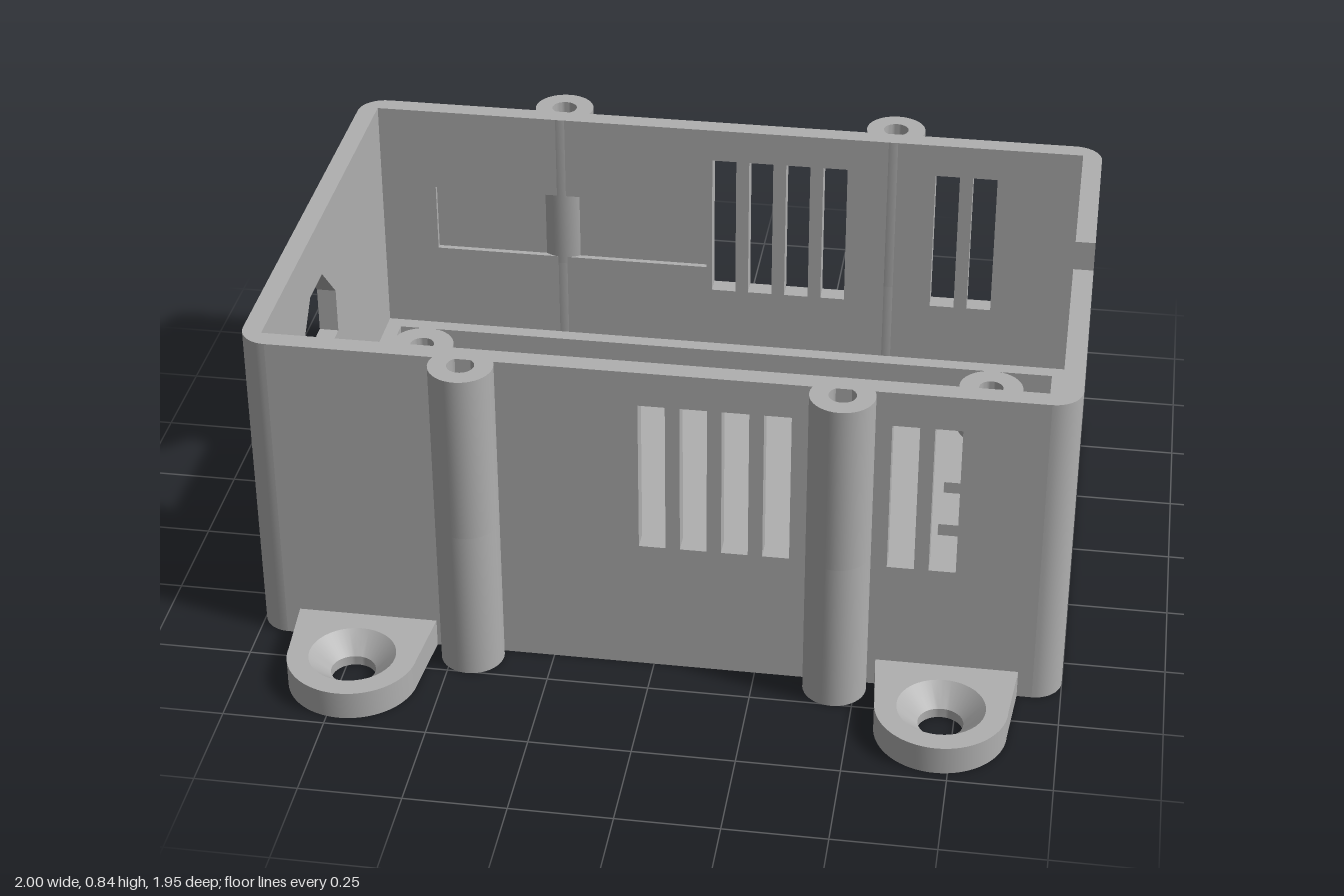
import * as THREE from 'three';
import { toCreasedNormals } from 'three/addons/utils/BufferGeometryUtils.js';

const W = 1, D = 0.65, H = 0.84, T = 0.05, R = 0.07, FLOOR = 0.05, LEDGE = 0.18;

const poly = (pts) => new THREE.Shape(pts.map(([x, y]) => new THREE.Vector2(x, y)));
const rect = (x0, y0, x1, y1) => poly([[x0, y0], [x1, y0], [x1, y1], [x0, y1]]);
const disc = (r, hole) => {
  const s = new THREE.Shape().absarc(0, 0, r, 0, Math.PI * 2, false);
  if (hole) s.holes.push(new THREE.Path().absarc(0, 0, hole, 0, Math.PI * 2, true));
  return s;
};
const extrude = (shape, depth) => toCreasedNormals(
  new THREE.ExtrudeGeometry(shape, { depth, bevelEnabled: false, curveSegments: 20 }), 0.6);

// Plan shape (x, z) raised from y0 to y1
const slab = (shape, y0, y1) => extrude(shape, y1 - y0).rotateX(Math.PI / 2).translate(0, y1, 0);

export function createModel() {
  const model = new THREE.Group();
  const grey = new THREE.MeshStandardMaterial({ color: 0xb0b0b0 });
  grey.name = 'greyPlastic';

  const add = (name, geometry, x = 0, y = 0, z = 0, turn = 0, parent = model) => {
    const m = new THREE.Mesh(geometry, grey);
    m.name = name;
    m.position.set(x, y, z);
    m.rotation.y = turn;
    parent.add(m);
    return m;
  };

  // Front and back walls with ventilation slots
  const slottedWall = () => {
    const s = rect(-W + R, 0, W - R, H);
    for (const i of [0, 1, 2, 3, 6, 7]) {
      const x = -0.035 + i * 0.1;
      s.holes.push(rect(x, 0.35, x + 0.065, 0.75));
    }
    return s;
  };
  add('frontWall', extrude(slottedWall(), T), 0, 0, D - T);

  // Back wall has a shallow rectangular recess on its inner face
  const recessed = slottedWall();
  recessed.holes.push(rect(-0.8, 0.42, -0.05, 0.61));
  add('backWallOuter', extrude(slottedWall(), T - 0.015), 0, 0, -D);
  add('backWallInner', extrude(recessed, 0.015), 0, 0, -D + T - 0.015);

  // Right end wall (-x) with a chamfered cable opening
  const e = D - R;
  const holeWall = rect(-e, 0, e, H);
  holeWall.holes.push(poly([[-0.065, 0.455], [0.28, 0.455], [0.28, 0.575],
    [0.17, 0.69], [0.05, 0.69], [-0.065, 0.575]]));
  add('rightWall', extrude(holeWall, T).rotateY(-Math.PI / 2), -W + T);

  // Left end wall (+x) with a notch open at the rim
  const notchWall = poly([[-e, 0], [e, 0], [e, H], [0.01, H], [0.01, 0.63],
    [-0.13, 0.63], [-0.13, H], [-e, H]]);
  add('leftWall', extrude(notchWall, T).rotateY(-Math.PI / 2), W);

  // Rounded outer corners
  for (const sx of [-1, 1]) for (const sz of [-1, 1]) {
    const pts = [[W - T, D - R], [W - T, D - T], [W - R, D - T], [W - R, D]];
    for (let i = 1; i <= 10; i++) {
      const a = Math.PI / 2 * (1 - i / 10);
      pts.push([W - R + R * Math.cos(a), D - R + R * Math.sin(a)]);
    }
    add('corner', slab(poly(pts.map(([x, z]) => [x * sx, z * sz])), 0, H));
  }

  // Floor with two through slits
  const floor = rect(-W + T, -D + T, W - T, D - T);
  for (const z of [-0.19, 0.01]) floor.holes.push(rect(0.65, z, 0.755, z + 0.05));
  add('floor', slab(floor, 0, FLOOR));

  // Low inner ledge around the walls
  const ledge = rect(-W + T, -D + T, W - T, D - T);
  ledge.holes.push(rect(-0.91, -0.56, 0.91, 0.56));
  add('innerLedge', slab(ledge, FLOOR, LEDGE));

  // Circuit board posts
  const post = slab(disc(0.087, 0.033), FLOOR, LEDGE);
  for (const x of [-0.83, 0.75]) for (const z of [-0.475, 0.475]) add('boardPost', post, x, 0, z);

  // Lid screw columns with blind holes
  const columnBase = slab(disc(0.078), 0, 0.4);
  const columnTop = slab(disc(0.078, 0.033), 0.4, H);
  for (const x of [-0.45, 0.45]) for (const z of [-0.677, 0.677]) {
    const g = new THREE.Group();
    g.name = 'screwColumn';
    g.position.set(x, 0, z);
    add('columnBase', columnBase, 0, 0, 0, 0, g);
    add('columnTop', columnTop, 0, 0, 0, 0, g);
    model.add(g);
  }

  // Mounting feet with countersunk holes
  const foot = poly([[-0.175, -0.18], [0.175, -0.18], [0.16, 0]]);
  foot.absarc(0, 0, 0.16, 0, Math.PI, false);
  foot.holes.push(new THREE.Path().absarc(0, 0, 0.107, 0, Math.PI * 2, true));
  const footPlate = slab(foot, 0, 0.073);
  const sink = toCreasedNormals(new THREE.LatheGeometry(
    [[0.107, 0.073], [0.055, 0.025], [0.055, 0], [0.107, 0]]
      .map(([r, y]) => new THREE.Vector2(r, y)), 40), 0.6);
  // Order the profile so its faces look into the hole
  const sinkIndex = sink.getAttribute('position');
  const a = new THREE.Vector3(), b = new THREE.Vector3(), c = new THREE.Vector3();
  let up = 0;
  for (let i = 0; i < sinkIndex.count; i += 3) {
    a.fromBufferAttribute(sinkIndex, i);
    b.fromBufferAttribute(sinkIndex, i + 1).sub(a);
    c.fromBufferAttribute(sinkIndex, i + 2).sub(a);
    const n = b.cross(c);
    up += -(n.x * a.x + n.z * a.z);
  }
  const countersink = up > 0 ? sink : toCreasedNormals(new THREE.LatheGeometry(
    [[0.107, 0], [0.055, 0], [0.055, 0.025], [0.107, 0.073]]
      .map(([r, y]) => new THREE.Vector2(r, y)), 40), 0.6);
  for (const x of [-0.72, 0.72]) for (const s of [-1, 1]) {
    const g = new THREE.Group();
    g.name = 'mountingFoot';
    g.position.set(x, 0, s * 0.815);
    g.rotation.y = s > 0 ? 0 : Math.PI;
    add('footPlate', footPlate, 0, 0, 0, 0, g);
    add('countersink', countersink, 0, 0, 0, 0, g);
    model.add(g);
  }

  return model;
}
